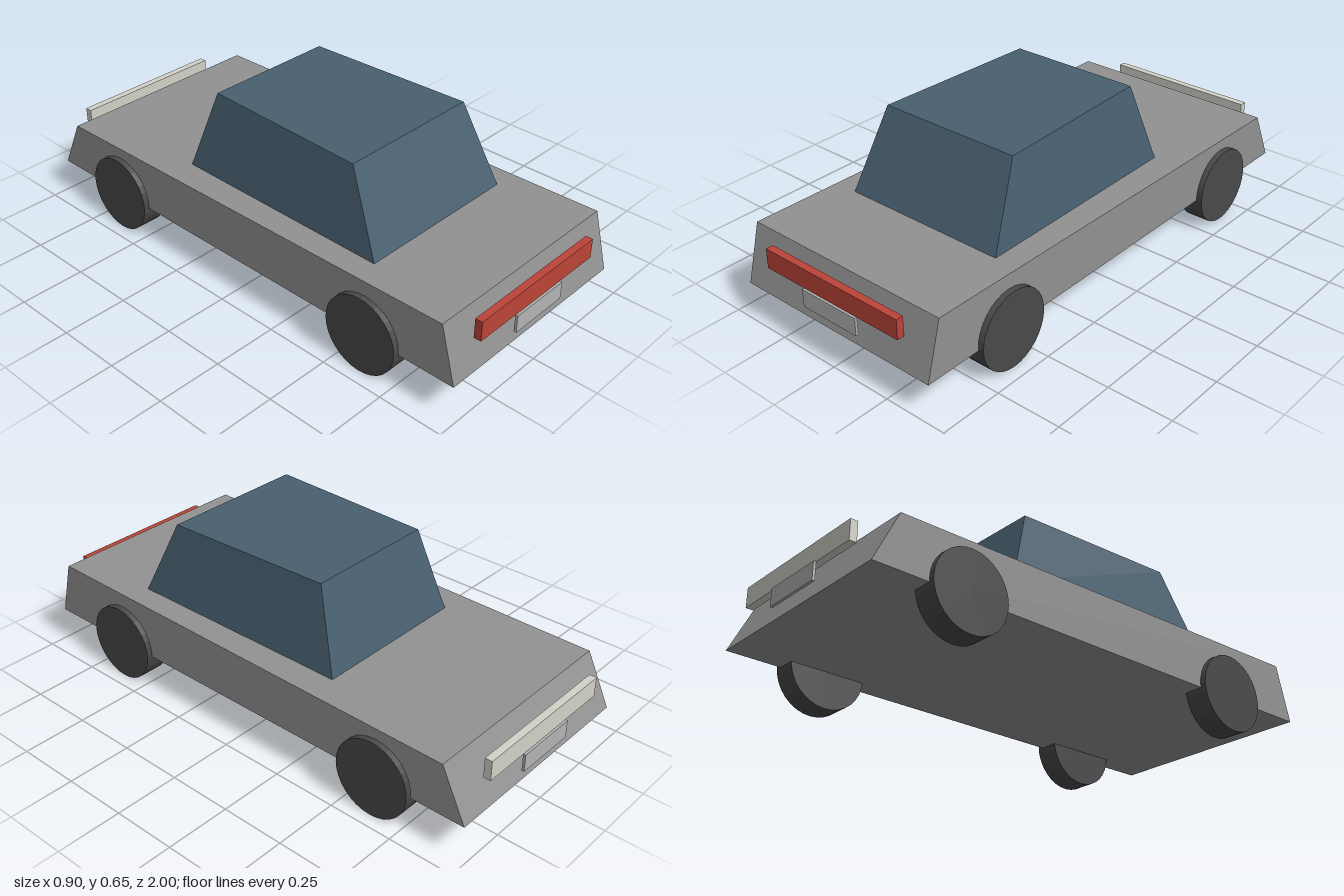
import * as THREE from 'three';

const mat = (color) => new THREE.MeshStandardMaterial({ color, flatShading: true });

function add(parent, name, geometry, material, x = 0, y = 0, z = 0) {
  const mesh = new THREE.Mesh(geometry, material);
  mesh.name = name;
  mesh.position.set(x, y, z);
  parent.add(mesh);
  return mesh;
}

// Box whose four cross edges are given as { y, z, w }, with w the half width
function taperedBox({ topFront, topBack, bottomFront, bottomBack }) {
  const geo = new THREE.BoxGeometry(2, 2, 2);
  const p = geo.attributes.position;
  for (let i = 0; i < p.count; i++) {
    const front = p.getZ(i) > 0;
    const edge = p.getY(i) > 0
      ? (front ? topFront : topBack)
      : (front ? bottomFront : bottomBack);
    p.setXYZ(i, p.getX(i) * edge.w, edge.y, edge.z);
  }
  geo.computeVertexNormals();
  return geo;
}

export function createModel() {
  const car = new THREE.Group();
  car.name = 'car';

  const paint = mat(0x929292);
  const glass = mat(0x486070);
  const rubber = mat(0x4a494b);
  const plateGrey = mat(0xb4b4b4);

  // Wedge-shaped body with slanted ends
  add(car, 'body', taperedBox({
    topFront: { y: 0.357, z: 0.928, w: 0.428 },
    topBack: { y: 0.336, z: -0.89, w: 0.428 },
    bottomFront: { y: 0.138, z: 0.986, w: 0.428 },
    bottomBack: { y: 0.138, z: -0.986, w: 0.428 },
  }), paint);

  // Cabin, narrower towards the roof and the back
  add(car, 'cabin', taperedBox({
    topFront: { y: 0.655, z: 0.43, w: 0.289 },
    topBack: { y: 0.655, z: -0.242, w: 0.262 },
    bottomFront: { y: 0.352, z: 0.57, w: 0.334 },
    bottomBack: { y: 0.341, z: -0.342, w: 0.316 },
  }), glass);

  // Wheels
  const wheelGeo = new THREE.CylinderGeometry(0.149, 0.149, 0.095, 32).rotateZ(Math.PI / 2);
  for (const [end, z] of [['front', 0.612], ['back', -0.625]]) {
    for (const [side, s] of [['Left', 1], ['Right', -1]]) {
      add(car, `${end}${side}Wheel`, wheelGeo, rubber, s * 0.403, 0.149, z);
    }
  }

  // Light bar and number plate at each end
  const barGeo = new THREE.BoxGeometry(0.616, 0.076, 0.028);
  const plateGeo = new THREE.BoxGeometry(0.25, 0.068, 0.01);
  for (const [end, s, color] of [['front', 1, 0xbc4438], ['back', -1, 0xd2d2c8]]) {
    add(car, `${end}LightBar`, barGeo, mat(color), 0, 0.291, s * 0.977);
    add(car, `${end}Plate`, plateGeo, plateGrey, 0, 0.219, s * 0.995);
  }

  return car;
}
